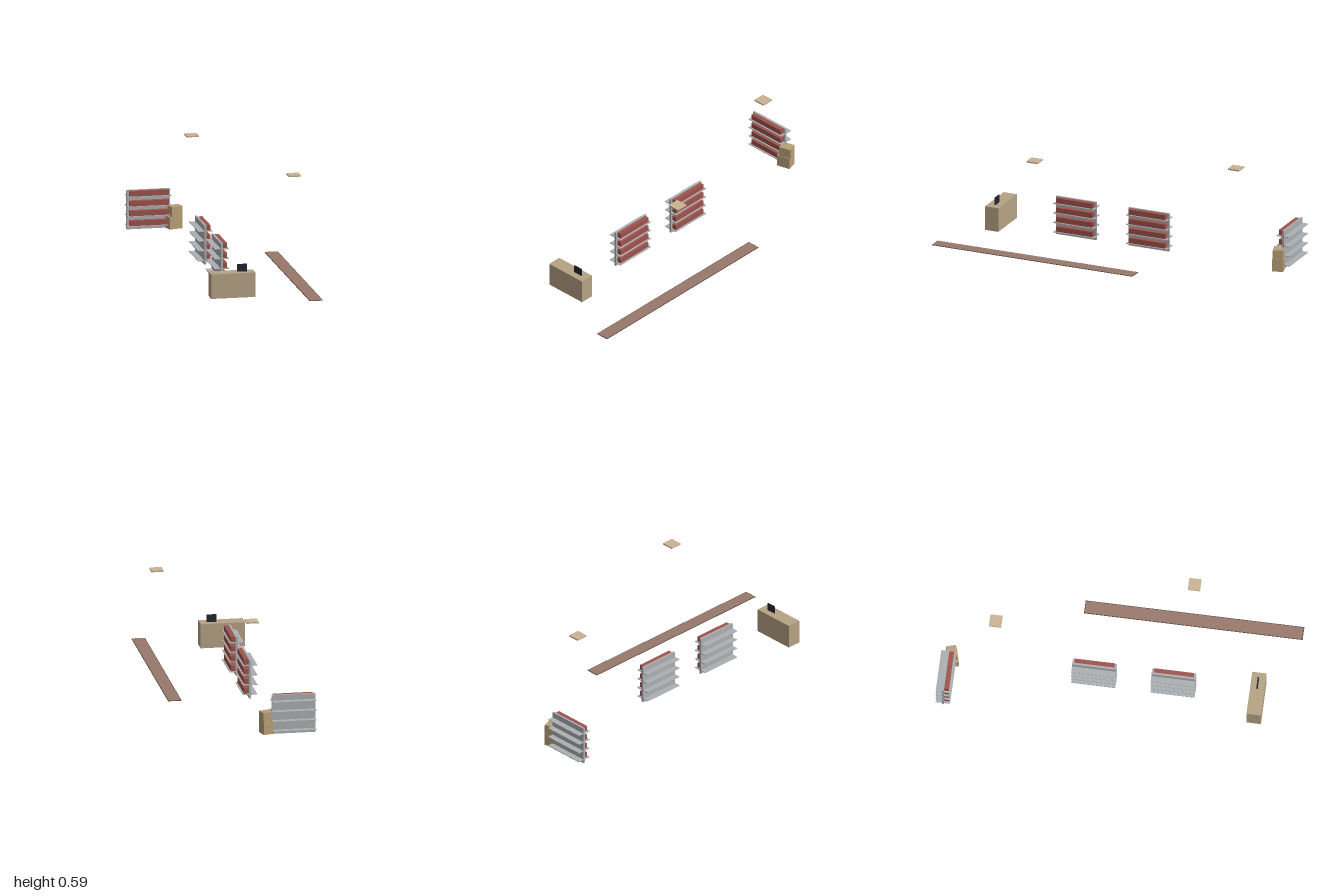
import * as THREE from 'three';

const mat = (name, color) => {
  const m = new THREE.MeshStandardMaterial({ color });
  m.name = name;
  return m;
};

export function createModel() {
  const wood = mat('counter wood', 0xb5a284);
  const card = mat('cardboard', 0xb89f78);
  const metal = mat('shelf metal', 0xacafb1);
  const red = mat('red stock', 0x9f524c);
  const dark = mat('screen black', 0x24242e);
  const rugTop = mat('walkway brown', 0x98786a);
  const rugEdge = mat('walkway edge', 0x55443c);
  const cream = mat('lamp cream', 0xc9b393);

  const model = new THREE.Group();
  model.name = 'shopInterior';

  // box given by its centre in x and z, and by its lowest y
  const box = (parent, name, m, w, h, d, x, y, z, turn = 0) => {
    const mesh = new THREE.Mesh(new THREE.BoxGeometry(w, h, d), m);
    mesh.name = name;
    mesh.position.set(x, y + h / 2, z);
    mesh.rotation.y = turn;
    parent.add(mesh);
  };

  // shelf rack facing +z: central panel, double-sided boards, stock in front
  const rack = (x, z, turn) => {
    const g = new THREE.Group();
    g.name = 'shelfRack';
    box(g, 'rackPanel', metal, 0.25, 0.226, 0.012, 0, 0, 0);
    for (let i = 0; i < 4; i++) {
      const y = 0.02 + i * 0.0567;
      box(g, 'shelfBoard', metal, 0.25, 0.004, 0.082, 0, y, 0);
      box(g, 'stockRow', red, 0.226, 0.03, 0.026, 0, y + 0.004, 0.019);
    }
    g.position.set(x, 0, z);
    g.rotation.y = turn;
    model.add(g);
  };
  rack(-0.235, -0.96, 0);
  rack(-0.106, -0.135, Math.PI / 2);
  rack(-0.106, 0.315, Math.PI / 2);

  // checkout counter and screen
  box(model, 'counter', wood, 0.254, 0.141, 0.082, -0.121, 0, 0.788);
  box(model, 'screen', dark, 0.056, 0.043, 0.007, -0.064, 0.141, 0.787);

  // floor walkway with a dark border
  box(model, 'walkwayBase', rugEdge, 0.077, 0.002, 1.24, 0.32, 0, 0.377);
  box(model, 'walkwayTop', rugTop, 0.07, 0.001, 1.232, 0.32, 0.002, 0.377);

  // stacked cartons beside the rear rack
  box(model, 'lowerCarton', card, 0.08, 0.07, 0.064, -0.093, 0, -0.941, 0.26);
  box(model, 'upperCarton', card, 0.07, 0.058, 0.057, -0.086, 0.07, -0.943, 0.3);

  // ceiling lamps
  for (const [x, z] of [[-0.04, -0.701], [0.32, 0.38]])
    box(model, 'ceilingLamp', cream, 0.07, 0.008, 0.07, x, 0.583, z);

  return model;
}
